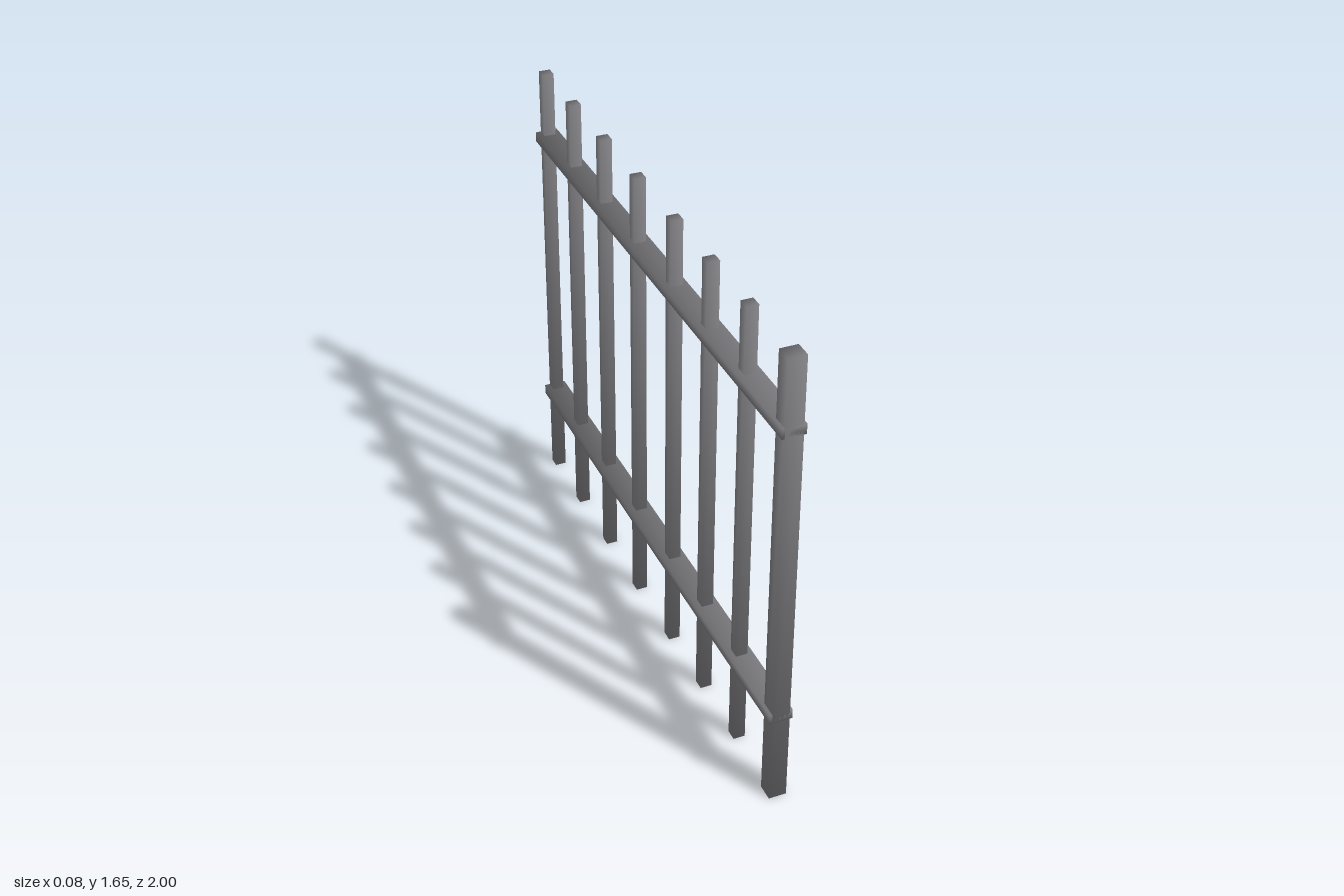
import * as THREE from 'three';

const iron = new THREE.MeshStandardMaterial({ color: 0x7b7b7f });
iron.name = 'grey iron';

// Box whose shared corners carry one averaged normal, for soft shading
function softBar(name, w, h, d, x, y, z) {
  const geometry = new THREE.BoxGeometry(w, h, d);
  const p = geometry.attributes.position;
  const n = geometry.attributes.normal;
  const k = 1 / Math.sqrt(3);
  for (let i = 0; i < p.count; i++) {
    n.setXYZ(i, Math.sign(p.getX(i)) * k, Math.sign(p.getY(i)) * k, Math.sign(p.getZ(i)) * k);
  }
  const mesh = new THREE.Mesh(geometry, iron);
  mesh.name = name;
  mesh.position.set(x, y, z);
  return mesh;
}

export function createModel() {
  const group = new THREE.Group();
  group.name = 'fencePanel';
  const height = 1.65;

  // Thick post at the front end
  group.add(softBar('endPost', 0.06, height, 0.058, 0, height / 2, 0.971));

  // Thin upright bars
  [0.69, 0.422, 0.15, -0.146, -0.436, -0.717, -0.98].forEach((z, i) => {
    group.add(softBar('upright' + (i + 1), 0.04, height, 0.04, 0, height / 2, z));
  });

  // Two horizontal rails running the full length
  group.add(softBar('lowerRail', 0.078, 0.035, 2, 0, 0.337, 0));
  group.add(softBar('upperRail', 0.078, 0.035, 2, 0, 1.403, 0));

  return group;
}
